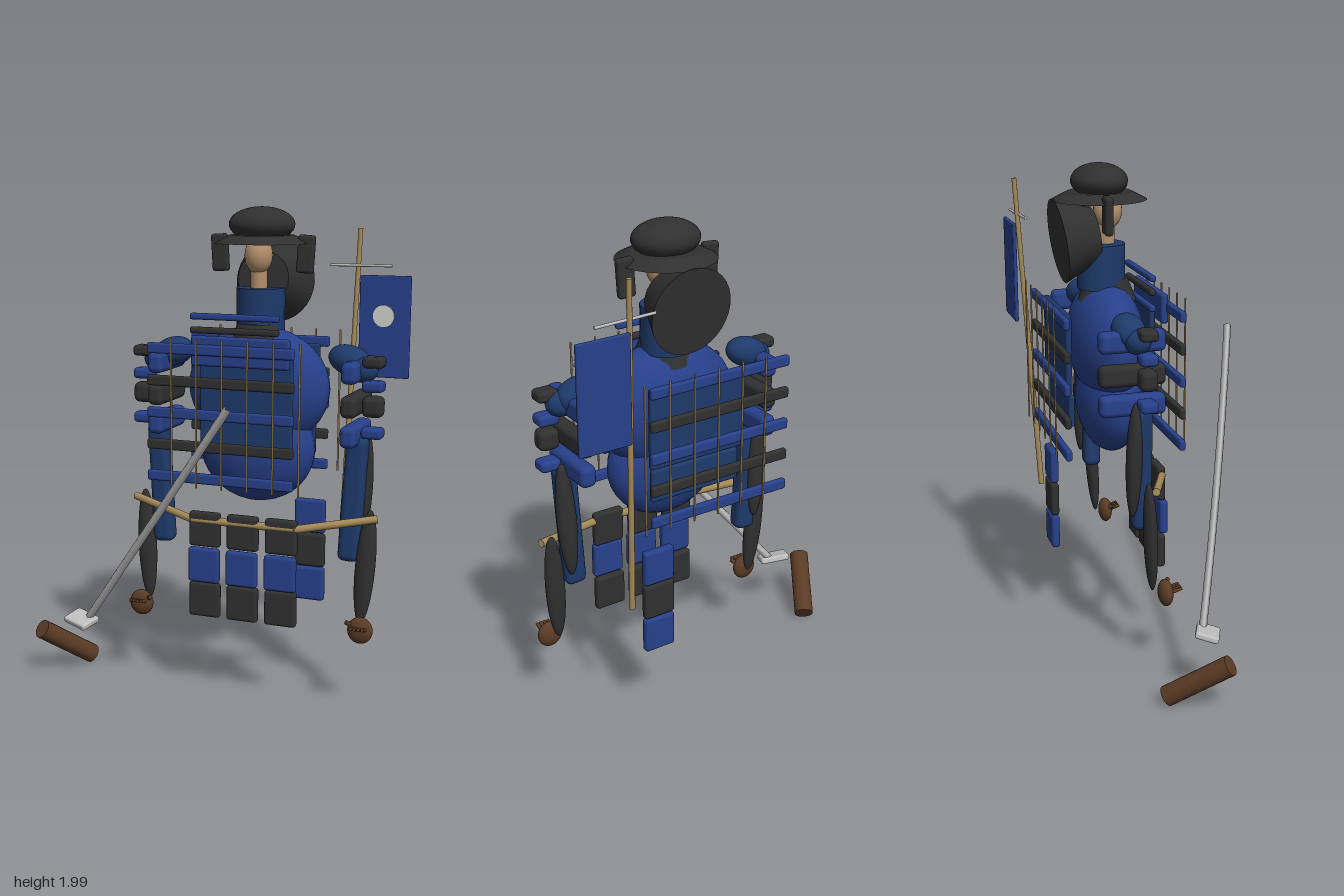
import * as THREE from 'three';
import { RoundedBoxGeometry } from 'three/addons/geometries/RoundedBoxGeometry.js';

const paint = (name, color) => Object.assign(new THREE.MeshStandardMaterial({ color }), { name });
const CX = 0.19; // the figure stands off-centre, mirrored about this x

export function createModel() {
  const model = new THREE.Group();
  model.name = 'armouredFigure';
  const blue = paint('armour blue', 0x27408b);
  const navy = paint('cloth navy', 0x1e3a6b);
  const dark = paint('lacquer black', 0x303030);
  const tan = paint('bamboo', 0xa48a58);
  const skin = paint('skin', 0xb5906c);
  const brown = paint('leather brown', 0x5a3b25);
  const steel = paint('steel', 0xbfbfbf);
  const white = paint('disc white', 0xd4d4d0);

  const add = (name, geometry, material, pos = [0, 0, 0], rot = [0, 0, 0]) => {
    const mesh = new THREE.Mesh(geometry, material);
    mesh.name = name;
    mesh.position.set(...pos);
    mesh.rotation.set(...rot);
    model.add(mesh);
    return mesh;
  };
  const box = (name, size, mat, pos, rot) =>
    add(name, new RoundedBoxGeometry(...size, 2, Math.min(...size) * 0.35), mat, pos, rot);
  const ball = (name, radii, mat, pos, rot) =>
    add(name, new THREE.SphereGeometry(1, 28, 18).scale(...radii), mat, pos, rot);
  const rod = (name, a, b, r0, r1, mat, sides = 12) => {
    const p = new THREE.Vector3(...a), q = new THREE.Vector3(...b);
    const d = q.clone().sub(p);
    const mesh = add(name, new THREE.CylinderGeometry(r1, r0, d.length(), sides), mat);
    mesh.position.copy(p).add(q).multiplyScalar(0.5);
    mesh.quaternion.setFromUnitVectors(new THREE.Vector3(0, 1, 0), d.normalize());
    return mesh;
  };

  // Helmet with brim, side wings and flared neck guard
  ball('helmetDome', [0.135, 0.07, 0.114], dark, [CX, 1.93, -0.152]);
  add('helmetBrim', new THREE.CylinderGeometry(0.13, 0.192, 0.032, 32), dark, [CX, 1.872, -0.153]);
  for (const s of [-1, 1])
    box('helmetWing', [0.07, 0.15, 0.032], dark, [CX + s * 0.182, 1.815, -0.165], [0, 0, -s * 0.06]);
  rod('neckGuard', [CX, 1.715, -0.172], [CX, 1.695, -0.322], 0.108, 0.17, dark, 32);

  // Head, neck and collar
  ball('head', [0.056, 0.075, 0.058], skin, [CX, 1.81, -0.118]);
  rod('neck', [CX, 1.6, -0.125], [CX, 1.77, -0.125], 0.035, 0.035, skin);
  add('collar', new THREE.CylinderGeometry(0.098, 0.098, 0.18, 20), navy, [CX, 1.59, -0.148]);
  add('collarBase', new THREE.CylinderGeometry(0.085, 0.12, 0.09, 20), dark, [CX, 1.495, -0.125]);

  // Torso in two rounded masses
  ball('chest', [0.3, 0.25, 0.15], blue, [CX, 1.28, -0.133]);
  ball('waist', [0.245, 0.225, 0.132], blue, [CX, 1.035, -0.123]);

  // Throat bars
  [[1.57, blue], [1.515, dark], [1.45, blue]].forEach(([y, m]) =>
    box('throatBar', [0.375, 0.026, 0.026], m, [0.132, y, 0]));

  // Chest and back panels behind the lamellar bars
  box('chestPlate', [0.41, 0.12, 0.03], blue, [0.18, 1.44, 0.058]);
  box('chestPanel', [0.39, 0.4, 0.02], navy, [0.19, 1.25, 0.012]);
  box('backPanel', [0.41, 0.32, 0.025], navy, [0.18, 1.28, -0.335]);
  box('lowerBackPanel', [0.39, 0.13, 0.025], navy, [0.18, 1.045, -0.325]);

  // Lamellar bars, front and back, with vertical laces
  for (const [z, laceZ] of [[0.077, 0.122], [-0.383, -0.408]]) {
    for (let i = 0; i < 5; i++)
      box('lamellarBar', [0.62, 0.043, 0.025], i % 2 ? dark : blue, [0.1, 1.445 - i * 0.13, z]);
    for (let i = -1; i < 5; i++)
      box('lace', [0.008, 0.6, 0.006], tan, [0.02 + i * 0.107, 1.195, laceZ]);
  }

  // Hip plates: three columns in front, one behind
  for (let row = 0; row < 3; row++) {
    const y = 0.708 - row * 0.149;
    for (let col = -1; col <= 1; col++)
      box('hipPlate', [0.133, 0.145, 0.035], row % 2 ? blue : dark,
        [CX + col * 0.164, y, row === 1 ? 0.053 : 0.042], [0, 0, 0]);
    box('rearHipPlate', [0.133, 0.145, 0.035], row % 2 ? dark : blue, [CX + 0.164, y, -0.335]);
  }

  // Waist pole bending round the hips
  const pole = [[-0.335, 0.79, -0.07], [-0.03, 0.745, 0.045], [0.41, 0.745, 0.045], [0.715, 0.79, -0.07]];
  for (let i = 0; i < 3; i++) rod('waistPole', pole[i], pole[i + 1], 0.016, 0.016, tan);

  // Arms, mirrored
  for (const s of [-1, 1]) {
    const at = (dx, y, z) => [CX + s * dx, y, z];
    ball('shoulder', [0.09, 0.06, 0.066], navy, at(0.38, 1.405, -0.14), [0, 0, -s * 0.3]);
    ball('upperArm', [0.06, 0.052, 0.052], navy, at(0.44, 1.375, -0.12));
    [[1.37, blue], [1.237, dark], [1.118, blue]].forEach(([y, m]) =>
      box('armPlate', [0.066, 0.086, 0.265], m, at(0.41, y, -0.135)));
    [[1.41, dark], [1.315, blue], [1.235, dark], [1.13, blue]].forEach(([y, m], i) =>
      box('armTab', [0.085, i === 2 ? 0.085 : 0.045, 0.07], m, at(0.49, y, -0.095)));
    box('sleeve', [0.088, 0.51, 0.075], navy, at(0.417, 0.855, -0.1), [0, 0, -s * 0.055]);
    ball('upperGuard', [0.04, 0.238, 0.032], dark, at(0.445, 0.898, -0.137), [0.02, 0, -s * 0.05]);
    ball('forearmGuard', [0.041, 0.235, 0.028], dark, at(0.478, 0.585, -0.08), [-0.05, 0, -s * 0.06]);

    // Hand with four fingers and a thumb
    ball('hand', [0.052, 0.055, 0.03], brown, at(0.48, 0.34, -0.018));
    for (let f = 0; f < 4; f++) {
      const dx = 0.457 + f * 0.016;
      rod('finger', at(dx, 0.35, 0), at(dx, 0.362, 0.043), 0.008, 0.007, brown, 8);
    }
    rod('thumb', at(0.45, 0.36, -0.015), at(0.428, 0.375, 0.008), 0.011, 0.009, brown, 8);
  }

  // Banner on a leaning pole
  rod('bannerPole', [0.485, 0.57, -0.355], [0.518, 1.91, -0.432], 0.012, 0.01, tan);
  rod('bannerCrossbar', [0.4, 1.76, -0.41], [0.655, 1.76, -0.427], 0.006, 0.006, steel, 8);
  box('banner', [0.215, 0.42, 0.016], blue, [0.628, 1.51, -0.435]);
  add('bannerDisc', new THREE.CylinderGeometry(0.045, 0.045, 0.006, 24), white,
    [0.625, 1.555, -0.425], [Math.PI / 2, 0, 0]);

  // Sword: curved blade, guard and loose grip
  const bladePath = new THREE.QuadraticBezierCurve3(
    new THREE.Vector3(-0.5, 0.27, 0.07),
    new THREE.Vector3(-0.1, 0.78, 0.275),
    new THREE.Vector3(0.275, 1.285, 0.43));
  add('blade', new THREE.TubeGeometry(bladePath, 20, 0.016, 4), steel);
  box('swordGuard', [0.13, 0.028, 0.095], steel, [-0.53, 0.262, 0.08], [0.28, -0.39, 0]);
  rod('swordGrip', [-0.705, 0.205, 0.112], [-0.575, 0.04, -0.1], 0.041, 0.041, brown, 20);

  return model;
}
